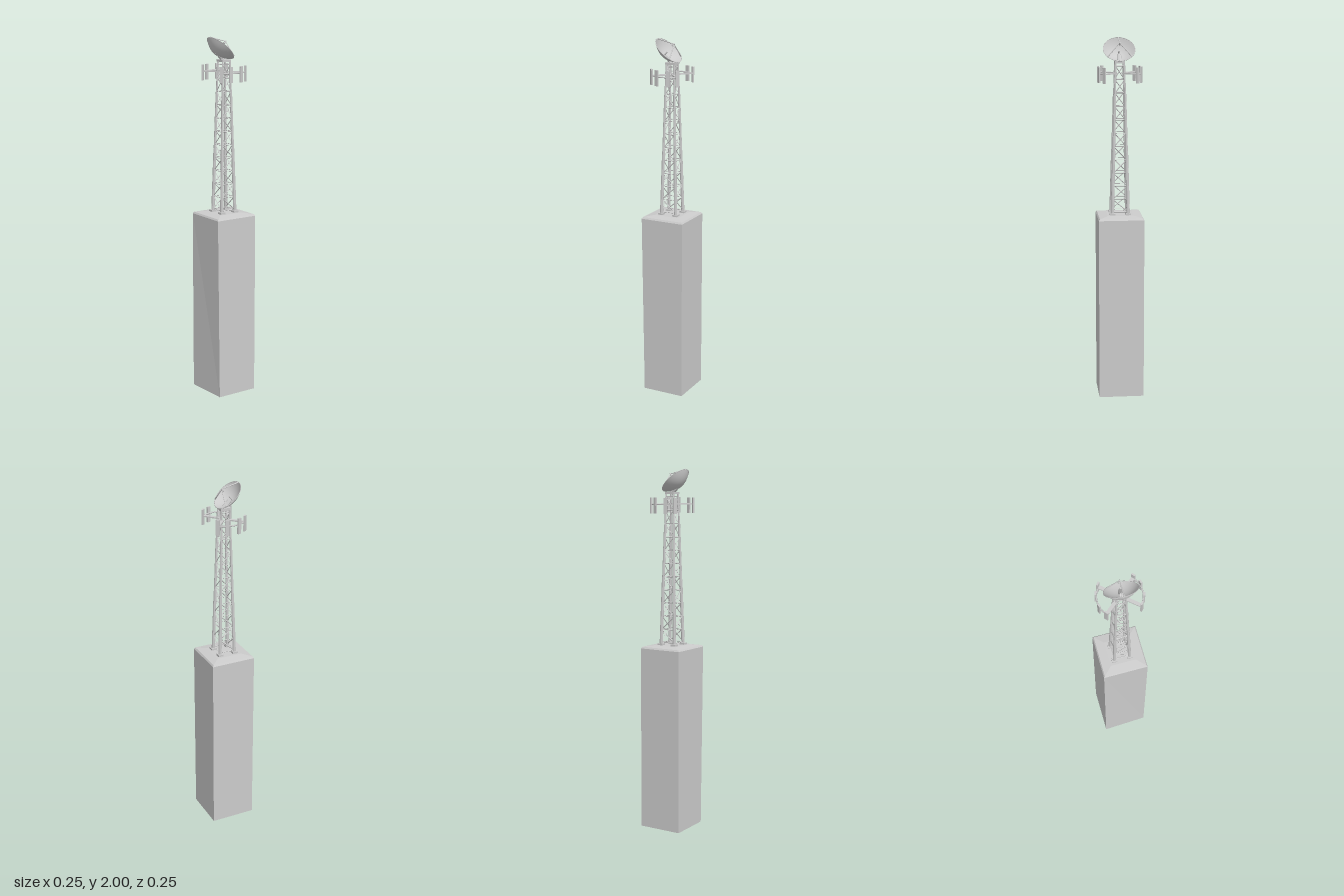
import * as THREE from 'three';

const V = (x, y, z) => new THREE.Vector3(x, y, z);
const UP = V(0, 1, 0);
const flat = new THREE.MeshStandardMaterial({ color: 0xcccccc, flatShading: true });
const smooth = new THREE.MeshStandardMaterial({ color: 0xcccccc, side: THREE.DoubleSide });

export function createModel() {
  const model = new THREE.Group();

  const add = (name, geometry, parent = model, material = flat) => {
    const mesh = new THREE.Mesh(geometry, material);
    mesh.name = name;
    parent.add(mesh);
    return mesh;
  };
  const group = (name) => {
    const g = new THREE.Group();
    g.name = name;
    model.add(g);
    return g;
  };
  // Round or square bar between two points
  const bar = (name, a, b, r0, r1 = r0, sides = 6, parent = model) => {
    const d = b.clone().sub(a);
    const mesh = add(name, new THREE.CylinderGeometry(r1, r0, d.length(), sides), parent);
    mesh.position.copy(a).add(b).multiplyScalar(0.5);
    mesh.quaternion.setFromUnitVectors(UP, d.normalize());
    return mesh;
  };

  // Tall square base with a chamfered, slightly pitched top
  const profile = [[0, 0], [0.125, 0], [0.125, 1.018], [0.119, 1.027], [0.072, 1.034], [0, 1.035]]
    .map(([h, y]) => new THREE.Vector2(h * Math.SQRT2, y));
  const base = new THREE.LatheGeometry(profile, 4, Math.PI / 4);
  const p = base.attributes.position;
  for (let i = 0; i < p.count; i++) {
    // One lower corner is pulled in a little
    if (p.getY(i) < 0.01 && p.getX(i) < -0.1 && p.getZ(i) > 0.1) p.setX(i, -0.114);
  }
  add('base', base);

  // Tapered four-legged lattice tower
  const tower = group('tower');
  const y0 = 1.03, y1 = 1.87;
  const corners = [[1, 1], [-1, 1], [-1, -1], [1, -1]];
  const half = (y) => THREE.MathUtils.mapLinear(y, y0, y1, 0.044, 0.023);
  const legPoint = (k, y) => {
    const [sx, sz] = corners[k % 4];
    return V(sx * half(y), y, sz * half(y));
  };
  const sections = [[y0, 1.39, 0.0095], [1.39, 1.7, 0.0075], [1.7, y1, 0.0055]];
  const bays = 11;
  const level = (i) => y0 + 0.02 + (y1 - y0 - 0.04) * i / bays;
  for (let k = 0; k < 4; k++) {
    for (const [a, b, r] of sections) {
      bar('leg', legPoint(k, a), legPoint(k, b), r, r * 0.92, 8, tower);
    }
    const foot = add('foot', new THREE.BoxGeometry(0.03, 0.016, 0.03), tower);
    foot.position.copy(legPoint(k, 1.036));
    for (let i = 0; i <= bays; i++) {
      bar('crossBar', legPoint(k, level(i)), legPoint(k + 1, level(i)), 0.0022, 0.0022, 4, tower);
      if (i === bays) continue;
      const flip = i % 2;
      bar('diagonalBrace', legPoint(k + flip, level(i)), legPoint(k + 1 - flip, level(i + 1)),
        0.0027, 0.0027, 4, tower);
    }
  }
  const cap = add('topPlate', new THREE.BoxGeometry(0.056, 0.012, 0.056), tower);
  cap.position.y = y1;

  // Two antenna racks, front and back: arms, curved rail and upright panels
  for (const side of [0, 1]) {
    const rack = group(side ? 'backAntennaRack' : 'frontAntennaRack');
    rack.position.y = 1.81;
    rack.rotation.y = side * Math.PI;
    const start = THREE.MathUtils.degToRad(49);
    const rail = new THREE.TorusGeometry(0.115, 0.004, 6, 16, Math.PI - 2 * start);
    rail.rotateZ(start).rotateX(Math.PI / 2);
    add('rail', rail, rack, smooth);
    for (const s of [-1, 1]) {
      const arm = add('arm', new THREE.BoxGeometry(0.018, 0.007, 0.095), rack);
      arm.position.set(s * 0.046, 0, 0.054);
      arm.rotation.y = s * (Math.PI / 2 - start);
      for (const deg of [49, 73.5]) {
        const a = THREE.MathUtils.degToRad(deg);
        const panel = add('antennaPanel', new THREE.BoxGeometry(0.02, 0.085, 0.009), rack);
        panel.position.set(s * 0.119 * Math.cos(a), -0.007, 0.119 * Math.sin(a));
        panel.rotation.y = s * (Math.PI / 2 - a);
      }
    }
  }

  // Tilted dish, modelled upright with its rim at y = 0
  const dish = group('dish');
  dish.position.set(-0.022, 1.937, 0);
  dish.rotation.z = -THREE.MathUtils.degToRad(43);
  const R = 0.087, depth = 0.043;
  const bowl = [];
  for (let i = 0; i <= 10; i++) {
    const r = R * i / 10;
    bowl.push(new THREE.Vector2(r, depth * ((r / R) ** 2 - 1)));
  }
  add('bowl', new THREE.LatheGeometry(bowl, 32), dish, smooth);
  const rim = add('rim', new THREE.TorusGeometry(R, 0.0018, 6, 32), dish, smooth);
  rim.rotation.x = Math.PI / 2;

  // Feed tripod and stub inside the bowl
  const focus = V(0, 0.048, 0);
  for (const deg of [180, 50, -50]) {
    const a = THREE.MathUtils.degToRad(deg);
    bar('feedStrut', V(R * Math.cos(a), 0, R * Math.sin(a)), focus, 0.004, 0.002, 6, dish);
  }
  bar('feedHorn', V(0, 0.034, 0), V(0, 0.052, 0), 0.006, 0.004, 8, dish);
  bar('feedStub', V(0, -depth, 0), V(0, -0.012, 0), 0.005, 0.003, 8, dish);

  // Bracket joining the dish to the tower
  bar('dishMount', V(0, y1, 0), V(-0.035, 1.905, 0), 0.014, 0.012, 8);

  return model;
}
